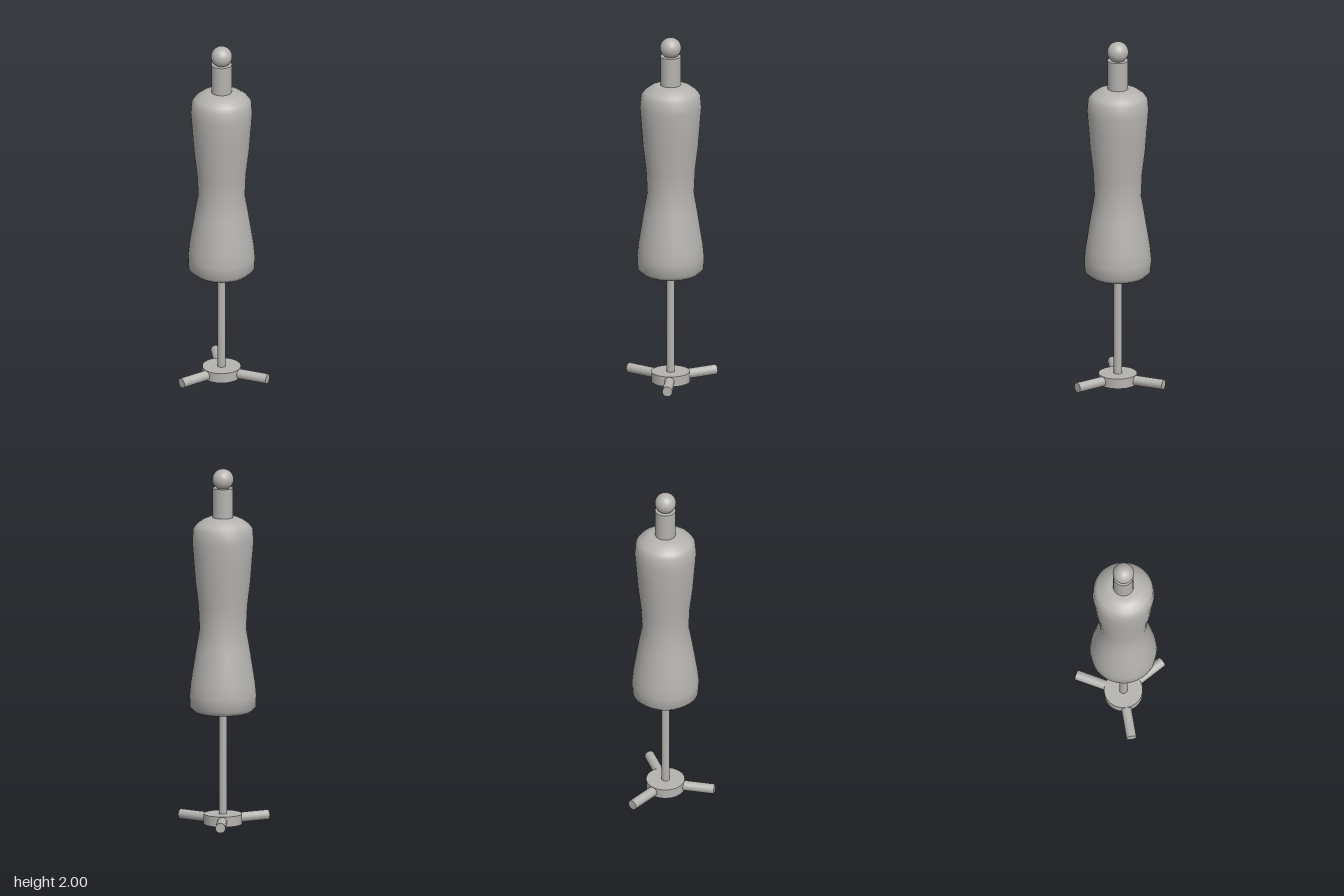
import * as THREE from 'three';

export function createModel() {
  const model = new THREE.Group();
  model.name = 'dressForm';
  const warmGrey = new THREE.MeshStandardMaterial({ color: 0xb5b3b0 });
  warmGrey.name = 'warmGrey';

  // Everything stands on one vertical axis, set slightly back
  const form = new THREE.Group();
  form.name = 'form';
  form.position.z = -0.047;
  model.add(form);

  const add = (name, geometry, y = 0, parent = form) => {
    const mesh = new THREE.Mesh(geometry, warmGrey);
    mesh.name = name;
    mesh.position.y = y;
    parent.add(mesh);
    return mesh;
  };
  const post = (name, radius, bottom, top, sides = 32) =>
    add(name, new THREE.CylinderGeometry(radius, radius, top - bottom, sides), (bottom + top) / 2);

  // Torso: rounded hem, hips, waist, chest and shoulders
  const profile = [
    [0, 0.635], [0.155, 0.635], [0.183, 0.662], [0.186, 0.73], [0.179, 0.8],
    [0.168, 0.87], [0.149, 0.99], [0.13, 1.1], [0.136, 1.23], [0.153, 1.37],
    [0.163, 1.5], [0.171, 1.6], [0.165, 1.665], [0.145, 1.69], [0.112, 1.714],
    [0.08, 1.727], [0, 1.731],
  ].map(([r, y]) => new THREE.Vector2(r, y));
  add('torso', new THREE.LatheGeometry(profile, 40));

  // Neck and ball finial
  post('neck', 0.057, 1.72, 1.893);
  add('finial', new THREE.SphereGeometry(0.059, 32, 20), 1.941);

  // Stand
  post('pole', 0.023, 0.04, 0.65, 16);
  post('hub', 0.107, 0.002, 0.059);

  // Three round legs spread evenly, one to the front
  for (let i = 0; i < 3; i++) {
    const leg = new THREE.Group();
    leg.name = 'leg' + (i + 1);
    leg.rotation.y = (i * Math.PI * 2) / 3;
    form.add(leg);
    const bar = add('legBar', new THREE.CylinderGeometry(0.028, 0.028, 0.257, 16), 0.029, leg);
    bar.rotation.x = Math.PI / 2;
    bar.position.z = 0.1485;
  }
  return model;
}
